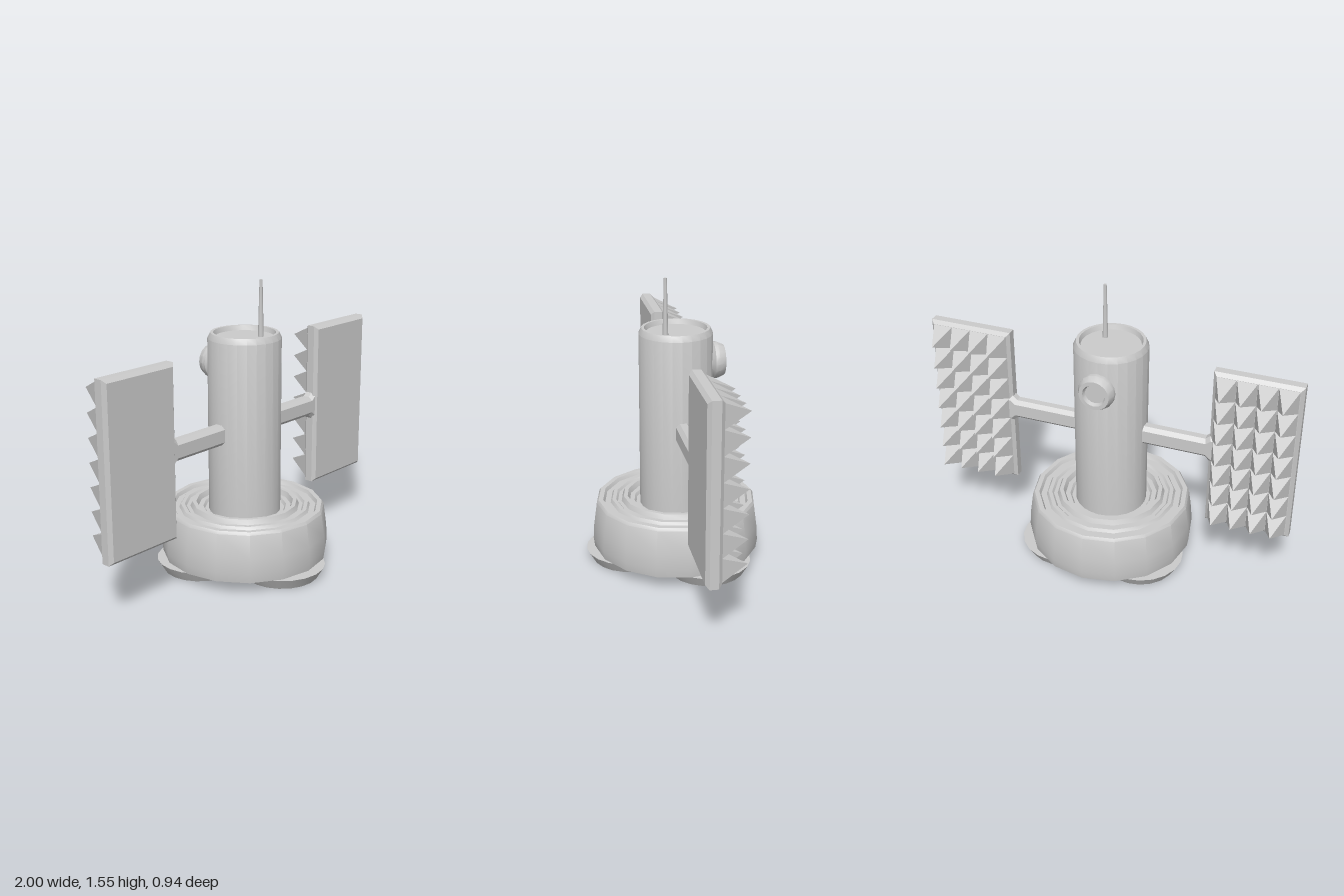
import * as THREE from 'three';
import { toCreasedNormals, mergeGeometries } from 'three/addons/utils/BufferGeometryUtils.js';

const CX = -0.005, CZ = -0.018; // axis of the body

export function createModel() {
  const group = new THREE.Group();
  const smooth = new THREE.MeshStandardMaterial({ color: 0xcccccc });
  const faceted = new THREE.MeshStandardMaterial({ color: 0xcccccc, flatShading: true });

  const add = (name, geometry, material, x = 0, y = 0, z = 0) => {
    const mesh = new THREE.Mesh(geometry, material);
    mesh.name = name;
    mesh.position.set(x, y, z);
    group.add(mesh);
    return mesh;
  };

  // Turned part from [radius, height] pairs, going bottom to top
  const turned = (profile, sides) => toCreasedNormals(
    new THREE.LatheGeometry(profile.map(([r, y]) => new THREE.Vector2(r, y)), sides), 0.5);

  // Bevelled slab: the outline is the finished outer edge, shrunk by the bevel
  const slab = (points, z0, z1, bevel) => {
    const shape = new THREE.Shape(points.map(([x, y]) => new THREE.Vector2(x, y)));
    const geometry = new THREE.ExtrudeGeometry(shape, {
      depth: z1 - z0 - 2 * bevel, bevelEnabled: true, bevelSegments: 1,
      bevelSize: bevel, bevelOffset: -bevel, bevelThickness: bevel,
    });
    return geometry.translate(0, 0, z0 + bevel);
  };

  // Round base with concentric ridges on its top
  add('base', turned([
    [0, 0.07], [0.445, 0.07], [0.452, 0.12], [0.447, 0.2], [0.43, 0.325], [0.42, 0.34],
    [0.395, 0.34], [0.385, 0.322], [0.355, 0.322], [0.345, 0.338], [0.325, 0.338],
    [0.315, 0.326], [0.295, 0.326], [0.283, 0.352], [0.262, 0.352],
    [0.25, 0.325], [0.225, 0.325], [0.215, 0.31], [0, 0.31],
  ], 16), smooth, CX, 0, CZ);

  // Three disc feet, wider at the top, each on a short hub
  const foot = turned([
    [0, 0], [0.2, 0], [0.235, 0.06], [0.12, 0.06], [0.12, 0.075], [0, 0.075],
  ], 20);
  for (let i = 0; i < 3; i++) {
    const a = (i * Math.PI * 2) / 3;
    add('foot', foot, smooth, Math.sin(a) * 0.255, 0, CZ + Math.cos(a) * 0.255);
  }

  // Column with a chamfered rim and sunken cap
  add('column', turned([
    [0.193, 0.3], [0.193, 1.25], [0.178, 1.28], [0.163, 1.28], [0.155, 1.255], [0, 1.255],
  ], 24), smooth, CX, 0, CZ);

  // Antenna
  add('antenna', new THREE.CylinderGeometry(0.008, 0.015, 0.3, 8), smooth, 0.05, 1.4, 0.045);

  // Round port on the back with a recessed lens
  const port = turned([
    [0.06, 0], [0.065, 0.045], [0.096, 0.065], [0.096, 0.085], [0.08, 0.12],
    [0.06, 0.12], [0.052, 0.1], [0, 0.1],
  ], 16).rotateX(-Math.PI / 2);
  add('port', port, smooth, CX, 1.095, -0.15);

  // Spike for the panels, pointing backward
  const spike = new THREE.ConeGeometry(Math.SQRT1_2, 1, 4, 1, true).toNonIndexed();
  spike.rotateY(Math.PI / 4).translate(0, 0.5, 0).rotateX(-Math.PI / 2).scale(0.104, 0.125, 0.135);

  for (const s of [1, -1]) {
    const side = s > 0 ? 'left' : 'right';
    const mirror = (points) => points.map(([x, y]) => [x * s, y]);

    // Arm, flaring where it meets the panel
    add(side + 'Arm', slab(mirror([
      [0.15, 0.713], [0.525, 0.713], [0.55, 0.69], [0.6, 0.69],
      [0.6, 0.842], [0.55, 0.842], [0.525, 0.82], [0.15, 0.82],
    ]), -0.062, 0.014, 0.02), faceted);

    // Panel
    add(side + 'Panel', slab(mirror([
      [0.548, 0.31], [1, 0.31], [1, 1.223], [0.548, 1.223],
    ]), -0.057, 0.023, 0.018), faceted);

    // Grid of spikes on the back of the panel
    const spikes = [];
    for (let row = 0; row < 7; row++) {
      for (let col = 0; col < 4; col++) {
        spikes.push(spike.clone().translate(s * (0.616 + col * 0.104), 0.392 + row * 0.125, -0.055));
      }
    }
    add(side + 'PanelSpikes', mergeGeometries(spikes), faceted);
  }

  return group;
}
